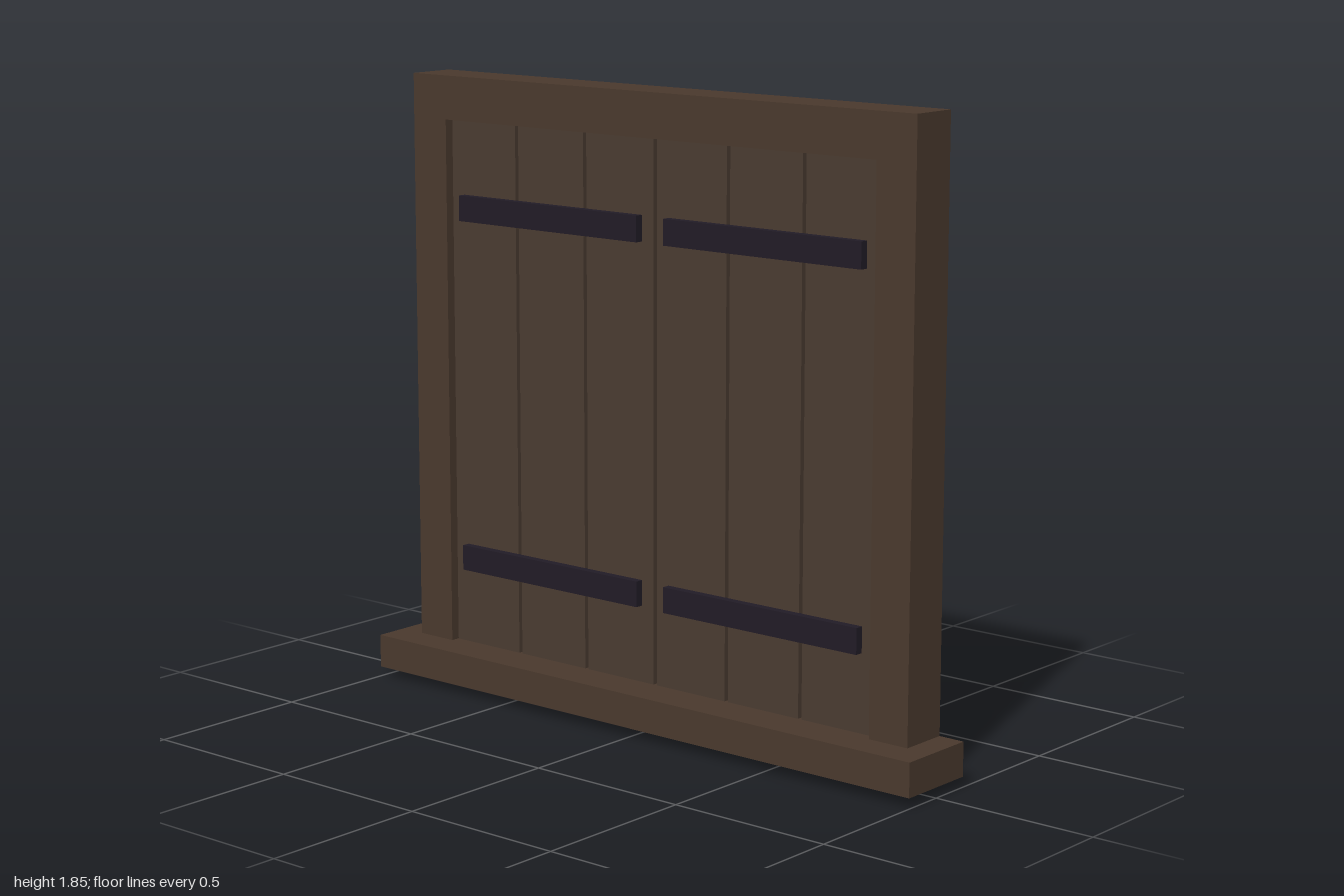
import * as THREE from 'three';

const frameWood = new THREE.MeshStandardMaterial({ color: 0x4a392d });
const plankWood = new THREE.MeshStandardMaterial({ color: 0x4a3b31 });
const iron = new THREE.MeshStandardMaterial({ color: 0x211c26 });

// Box given by its extents along each axis
function block(name, material, [x0, x1], [y0, y1], [z0, z1]) {
  const mesh = new THREE.Mesh(new THREE.BoxGeometry(x1 - x0, y1 - y0, z1 - z0), material);
  mesh.position.set((x0 + x1) / 2, (y0 + y1) / 2, (z0 + z1) / 2);
  mesh.name = name;
  return mesh;
}

export function createModel() {
  const model = new THREE.Group();
  model.name = 'shutteredWindow';
  const frameDepth = [-0.125, 0.025];

  // Frame: two posts, a top rail and a projecting sill
  const frame = new THREE.Group();
  frame.name = 'frame';
  frame.add(
    block('rightPost', frameWood, [-0.92, -0.79], [0, 1.85], frameDepth),
    block('leftPost', frameWood, [0.79, 0.92], [0, 1.85], frameDepth),
    block('topRail', frameWood, [-0.79, 0.79], [1.72, 1.85], frameDepth),
    block('sill', frameWood, [-1, 1], [0.03, 0.13], [-0.125, 0.125])
  );
  model.add(frame);

  // Two shutters, each with three planks and two iron straps
  const pitch = 0.265, plankWidth = 0.253;
  for (const side of [-1, 1]) {
    const shutter = new THREE.Group();
    shutter.name = side > 0 ? 'leftShutter' : 'rightShutter';
    for (let i = 0; i < 3; i++) {
      const x = side * (i + 0.5) * pitch;
      shutter.add(block('plank', plankWood,
        [x - plankWidth / 2, x + plankWidth / 2], [0.13, 1.72], [-0.062, -0.002]));
    }
    const strapX = side * 0.396;
    for (const y of [0.397, 1.46]) {
      shutter.add(block('strap', iron,
        [strapX - 0.346, strapX + 0.346], [y - 0.038, y + 0.038], [-0.004, 0.023]));
    }
    model.add(shutter);
  }
  return model;
}
